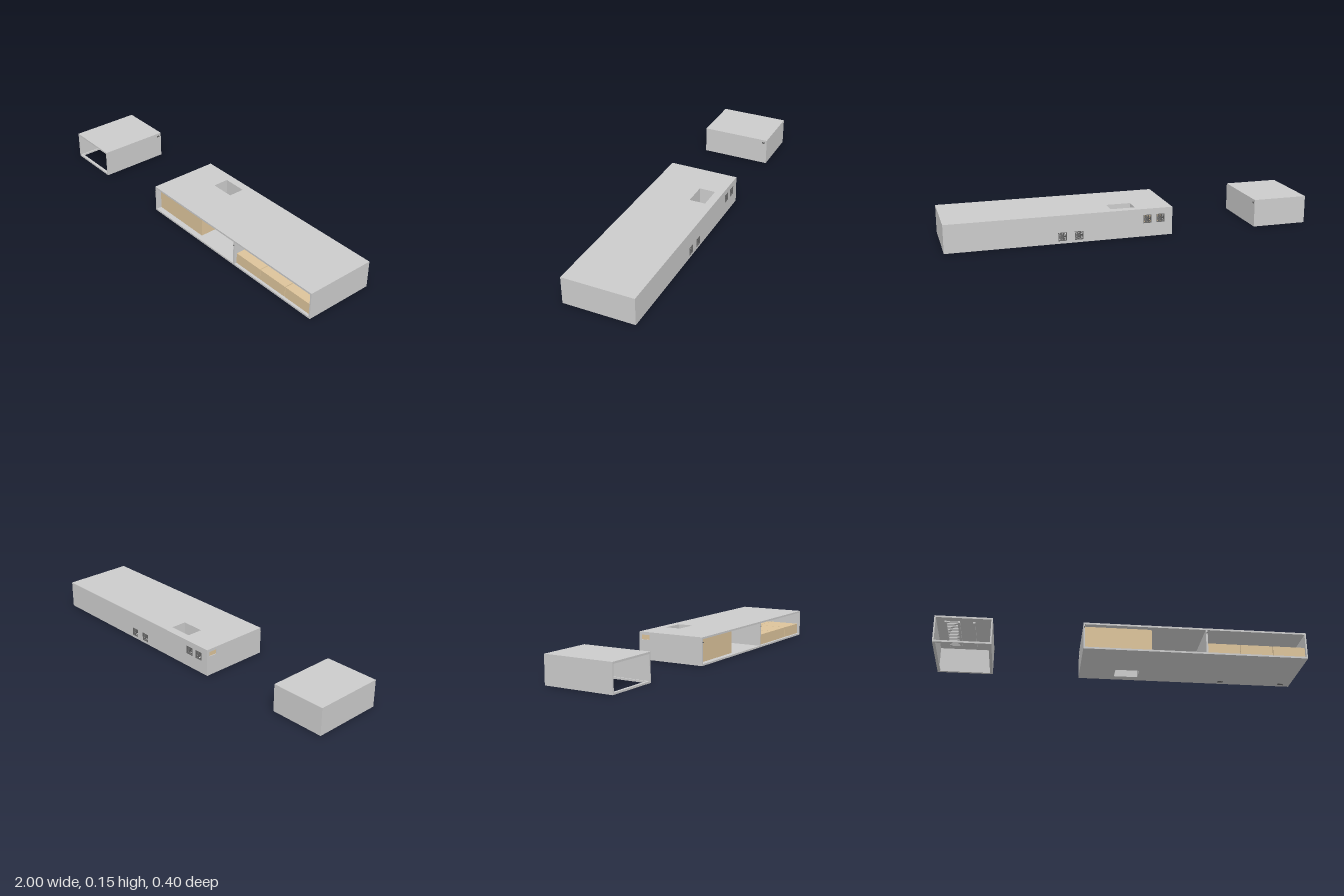
import * as THREE from 'three';

const grey = new THREE.MeshStandardMaterial({ color: 0xcccccc, side: THREE.DoubleSide });
const tan = new THREE.MeshStandardMaterial({ color: 0xdcc39a });
const dark = new THREE.MeshStandardMaterial({ color: 0x666666 });

const H = 0.152, T = 0.01, BACK = -0.2, FRONT = 0.195;

function add(parent, name, geometry, material = grey) {
  const mesh = new THREE.Mesh(geometry, material);
  mesh.name = name;
  parent.add(mesh);
  return mesh;
}

// Box given by its two extreme corners
function block(parent, name, [x0, x1], [y0, y1], [z0, z1], material) {
  const mesh = add(parent, name, new THREE.BoxGeometry(x1 - x0, y1 - y0, z1 - z0), material);
  mesh.position.set((x0 + x1) / 2, (y0 + y1) / 2, (z0 + z1) / 2);
  return mesh;
}

function trace(path, [a0, a1], [b0, b1]) {
  path.moveTo(a0, b0);
  path.lineTo(a1, b0);
  path.lineTo(a1, b1);
  path.lineTo(a0, b1);
  path.closePath();
  return path;
}

// Flat plate with rectangular holes, lying in the xy plane and rising along z
function plate(a, b, holes, depth = T) {
  const shape = trace(new THREE.Shape(), a, b);
  for (const [ha, hb] of holes) shape.holes.push(trace(new THREE.Path(), ha, hb));
  return new THREE.ExtrudeGeometry(shape, { depth, bevelEnabled: false });
}

// Horizontal plate: outline in x and z, with its underside at height y
function slab(parent, name, x, z, holes, y) {
  const flip = ([p, q]) => [-q, -p];
  const geometry = plate(x, flip(z), holes.map(([hx, hz]) => [hx, flip(hz)]));
  geometry.rotateX(-Math.PI / 2).translate(0, y, 0);
  return add(parent, name, geometry);
}

// Square ventilation fan filling a hole in the back wall
function fan(x, y, size) {
  const g = new THREE.Group();
  g.name = 'ventFan';
  const r = size / 2;
  add(g, 'fanFrame', plate([-r, r], [-r, r], [[[-r + 0.003, r - 0.003], [-r + 0.003, r - 0.003]]]), dark);
  add(g, 'fanRing', new THREE.TorusGeometry(r * 0.82, 0.0015, 6, 24), dark).position.z = T / 2;
  add(g, 'fanHub', new THREE.CylinderGeometry(0.005, 0.005, T, 16).rotateX(Math.PI / 2), dark).position.z = T / 2;
  for (let i = 0; i < 6; i++) {
    const blade = new THREE.BoxGeometry(r * 0.82, 0.012, 0.0015);
    blade.rotateX(0.5).translate(r * 0.45, 0, T / 2).rotateZ(i * Math.PI / 3);
    add(g, 'fanBlade', blade, dark);
  }
  g.position.set(x, y, BACK);
  return g;
}

function createSmallUnit() {
  const g = new THREE.Group();
  g.name = 'smallUnit';
  const X = [-1, -0.695];
  slab(g, 'roof', X, [BACK, FRONT], [], H - T);
  slab(g, 'openFloorFrame', X, [BACK, FRONT], [[[-0.985, -0.71], [-0.185, 0.18]]], 0);
  block(g, 'backWall', X, [T, H - T], [BACK, BACK + T]);
  for (const x of [X[0], X[1] - 0.008]) block(g, 'sideWall', [x, x + 0.008], [T, H - T], [BACK + T, FRONT]);
  // Ceiling rails with a row of slats
  for (const x of [-0.95, -0.88, -0.8]) block(g, 'ceilingRail', [x, x + 0.012], [0.132, 0.142], [-0.15, 0.16]);
  for (let i = 0; i < 16; i++) {
    const z = -0.14 + i * 0.019;
    block(g, 'ceilingSlat', [-0.938, -0.88], [0.136, 0.142], [z, z + 0.008]);
  }
  block(g, 'sideVent', [-0.6955, -0.694], [0.128, 0.138], [-0.188, -0.172], dark);
  return g;
}

function createLongUnit() {
  const g = new THREE.Group();
  g.name = 'longUnit';
  const X = [-0.215, 1], Z = [BACK, FRONT];
  const hole = [[-0.018, 0.115], [-0.155, -0.065]];
  slab(g, 'roof', X, Z, [hole], H - T);
  slab(g, 'floor', X, Z, [hole], 0);

  // Shaft joining the roof and floor openings
  const [[hx0, hx1], [hz0, hz1]] = hole;
  const shaft = add(g, 'shaft', plate([hx0 - 0.004, hx1 + 0.004], [-hz1 - 0.004, -hz0 + 0.004],
    [[[hx0, hx1], [-hz1, -hz0]]], H - 2 * T));
  shaft.rotation.x = -Math.PI / 2;
  shaft.position.y = T;

  // Back wall with fan openings
  const size = 0.046, r = size / 2;
  const fans = [[0.3, 0.037], [0.388, 0.037], [-0.075, 0.096], [-0.148, 0.096]];
  const openings = fans.map(([x, y]) => [[x - r, x + r], [y - r, y + r]]);
  add(g, 'backWall', plate(X, [T, H - T], openings)).position.z = BACK;
  for (const [x, y] of fans) g.add(fan(x, y, size));

  // End walls and divider; the -x end has a small window near the back
  block(g, 'endWall', [0.992, 1], [T, H - T], [BACK + T, FRONT]);
  block(g, 'divider', [0.445, 0.455], [T, H - T], [BACK + T, FRONT]);
  const end = plate([BACK + T, FRONT], [T, H - T], [[[-0.185, -0.135], [0.11, 0.136]]], 0.008);
  end.rotateY(-Math.PI / 2).translate(-0.207, 0, 0);
  add(g, 'windowedEndWall', end);
  block(g, 'windowPanel', [-0.211, -0.207], [0.108, 0.138], [-0.187, -0.133], tan);

  // Enclosed cabinet and its small handle
  block(g, 'cabinet', [-0.205, 0.155], [T, H - T], [-0.055, 0.165], tan);
  block(g, 'handle', [0.157, 0.172], [0.065, 0.095], [BACK + T, BACK + T + 0.006], dark);

  // Two rows of three crates
  for (const z of [0.005, 0.18]) {
    for (const x of [0.456, 0.635, 0.815]) {
      block(g, 'crate', [x, x + 0.176], [T, 0.07], [z - 0.173, z], tan);
    }
  }

  // Front knobs and floor drains
  for (const x of [-0.211, 0.45]) {
    const knob = add(g, 'knob', new THREE.CylinderGeometry(0.0025, 0.0025, 0.006, 12).rotateX(Math.PI / 2), dark);
    knob.position.set(x, 0.125, 0.198);
  }
  for (const x of [0.594, 0.945]) block(g, 'floorDrain', [x - 0.016, x + 0.016], [-0.0005, 0.002], [-0.18, -0.16], dark);
  return g;
}

export function createModel() {
  const model = new THREE.Group();
  model.name = 'modularUnits';
  model.add(createSmallUnit(), createLongUnit());
  return model;
}
